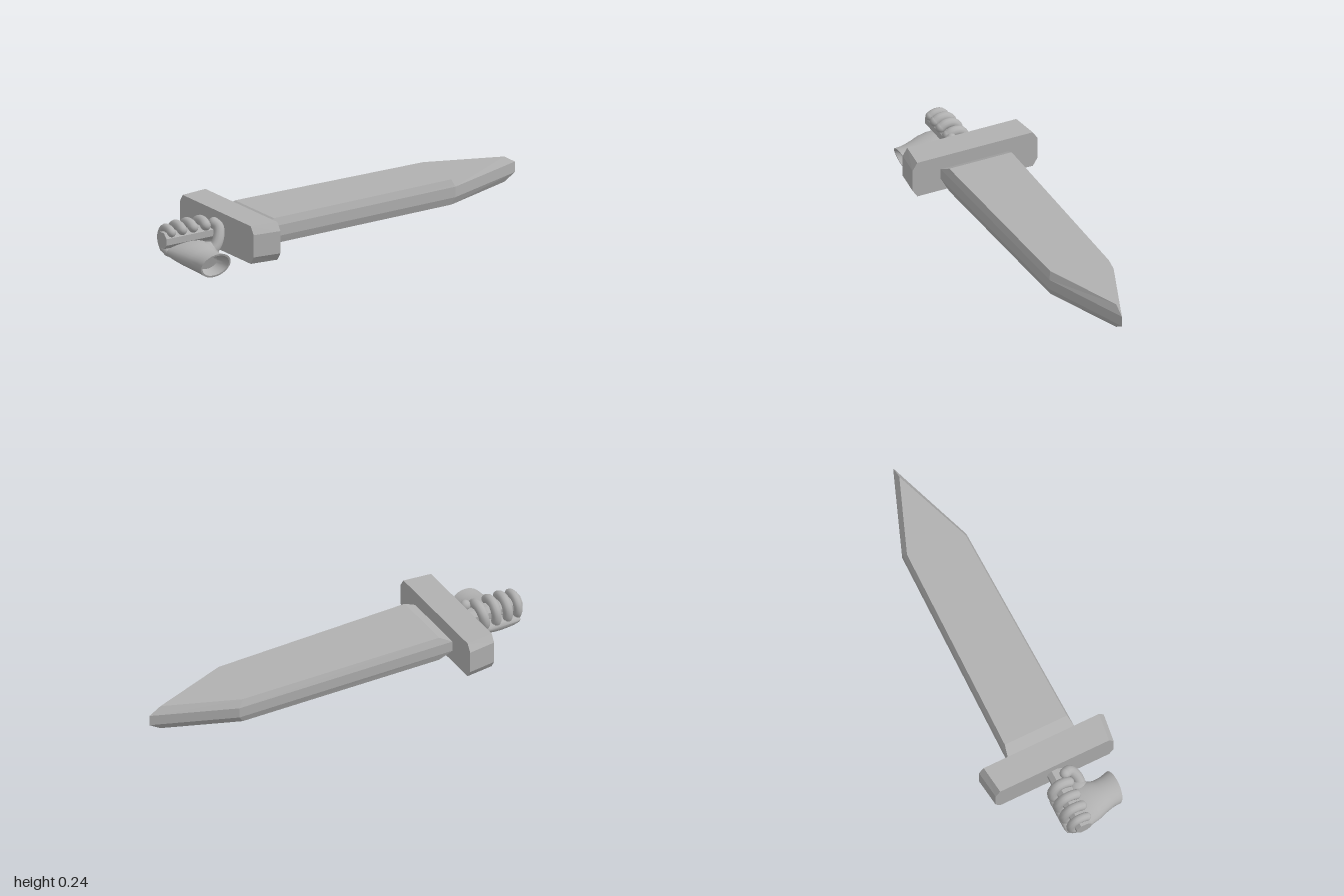
import * as THREE from 'three';
import { toCreasedNormals } from 'three/addons/utils/BufferGeometryUtils.js';

const grey = new THREE.MeshStandardMaterial({ color: 0xb0b0b0 });
grey.name = 'plain grey';

// Skin a stack of closed rings (counter-clockwise seen from the last one) and cap both ends
function loft(rings, crease) {
  const n = rings[0].length, last = (rings.length - 1) * n, index = [];
  for (let r = 0; r < rings.length - 1; r++) {
    for (let i = 0; i < n; i++) {
      const a = r * n + i, b = r * n + (i + 1) % n;
      index.push(a, b, b + n, a, b + n, a + n);
    }
  }
  for (let i = 1; i < n - 1; i++) index.push(0, i + 1, i, last, last + i, last + i + 1);
  const g = new THREE.BufferGeometry();
  g.setAttribute('position', new THREE.Float32BufferAttribute(rings.flat(2), 3));
  g.setIndex(index);
  return toCreasedNormals(g, crease);
}

function add(parent, name, geometry) {
  const mesh = new THREE.Mesh(geometry, grey);
  mesh.name = name;
  parent.add(mesh);
  return mesh;
}

// Round-ended finger following a list of points
function finger(parent, name, points, radius) {
  const group = new THREE.Group();
  group.name = name;
  const path = new THREE.CatmullRomCurve3(points.map(p => new THREE.Vector3(...p)));
  add(group, 'fingerLength', new THREE.TubeGeometry(path, 28, radius, 12));
  for (const t of [0, 1]) {
    add(group, t ? 'fingertip' : 'knuckle', new THREE.SphereGeometry(radius, 12, 8))
      .position.copy(path.getPoint(t));
  }
  parent.add(group);
}

export function createModel() {
  const model = new THREE.Group();
  model.name = 'sword';

  // Blade: outer edge outline and the smaller flat faces, as x, z pairs
  const edge = [[1, 0], [0.6, -0.155], [-0.545, -0.17], [-0.545, 0.183], [0.555, 0.16]];
  const flat = [[0.94, 0], [0.575, -0.142], [-0.48, -0.157], [-0.48, 0.17], [0.54, 0.148]];
  const level = (outline, y) => outline.map(([x, z]) => [x, y, z]);
  add(model, 'blade', loft(
    [level(flat, 0.088), level(edge, 0.125), level(edge, 0.177), level(flat, 0.213)], 0.02));

  // Guard: chamfered bar, slightly longer on the blade side
  const bar = [[-0.328, 0.095], [-0.328, 0.205], [-0.303, 0.243], [0.303, 0.243],
    [0.328, 0.205], [0.328, 0.095], [0.303, 0.057], [-0.303, 0.057]];
  const guardEnd = (x, s) => bar.map(([z, y]) => [x, y, z * s]);
  add(model, 'guard', loft([guardEnd(-0.69, 0.945), guardEnd(-0.55, 1)], 0.02));

  // Handle: eight-sided grip
  const grip = new THREE.CylinderGeometry(0.042, 0.042, 0.312, 8);
  grip.rotateY(Math.PI / 8).rotateZ(Math.PI / 2);
  add(model, 'handle', toCreasedNormals(grip, 0.3)).position.set(-0.844, 0.152, 0);

  const hand = new THREE.Group();
  hand.name = 'hand';
  model.add(hand);

  // Palm from knuckles to wrist: x, y, z, half width, half height, lean
  // The last three rings form the rim and hollow of the wrist.
  const sections = [
    [-0.87, 0.1, -0.078, 0.08, 0.008, 0],
    [-0.87, 0.098, -0.07, 0.1, 0.022, 0],
    [-0.87, 0.094, -0.05, 0.11, 0.034, 0],
    [-0.868, 0.089, 0, 0.115, 0.04, 0],
    [-0.868, 0.086, 0.05, 0.112, 0.05, 0],
    [-0.868, 0.08, 0.1, 0.1, 0.056, 0.005],
    [-0.866, 0.071, 0.15, 0.083, 0.056, 0.01],
    [-0.858, 0.065, 0.19, 0.079, 0.058, 0.015],
    [-0.85, 0.062, 0.23, 0.083, 0.062, 0.02],
    [-0.85, 0.062, 0.23, 0.074, 0.053, 0.017],
    [-0.853, 0.063, 0.2, 0.068, 0.048, 0.016],
    [-0.856, 0.065, 0.175, 0.05, 0.035, 0.011],
  ];
  const ring = ([x, y, z, w, h, lean]) => Array.from({ length: 28 }, (_, i) => {
    const a = i / 28 * Math.PI * 2;
    return [x + w * Math.cos(a), y + h * Math.sin(a), z + lean * Math.sin(a)];
  });
  add(hand, 'palm', loft(sections.map(ring), 0.9));

  // Four fingers curling round the back of the handle and over its top
  [[-0.966, 0.9, 0.021], [-0.908, 1, 0.024], [-0.846, 1.02, 0.024], [-0.782, 0.97, 0.025]]
    .forEach(([x, s, r], i) => {
      const curl = [[-0.07, 0.0], [-0.055, -0.035], [-0.02, -0.058], [0.025, -0.055],
        [0.054, -0.028], [0.056, 0.01], [0.044, 0.034]];
      finger(hand, 'finger' + (i + 1),
        curl.map(([y, z]) => [x + (i === 3 ? 0.15 * y : 0), 0.152 + y * s, z * s]), r);
    });

  // Thumb beside the guard, with its fleshy base
  finger(hand, 'thumb', [[-0.81, 0.075, 0.085], [-0.765, 0.1, 0.093], [-0.735, 0.145, 0.083],
    [-0.722, 0.185, 0.06], [-0.73, 0.2, 0.035]], 0.027);
  const base = add(hand, 'thumbBase', new THREE.SphereGeometry(1, 18, 12));
  base.scale.set(0.055, 0.042, 0.05);
  base.position.set(-0.79, 0.085, 0.075);

  return model;
}
